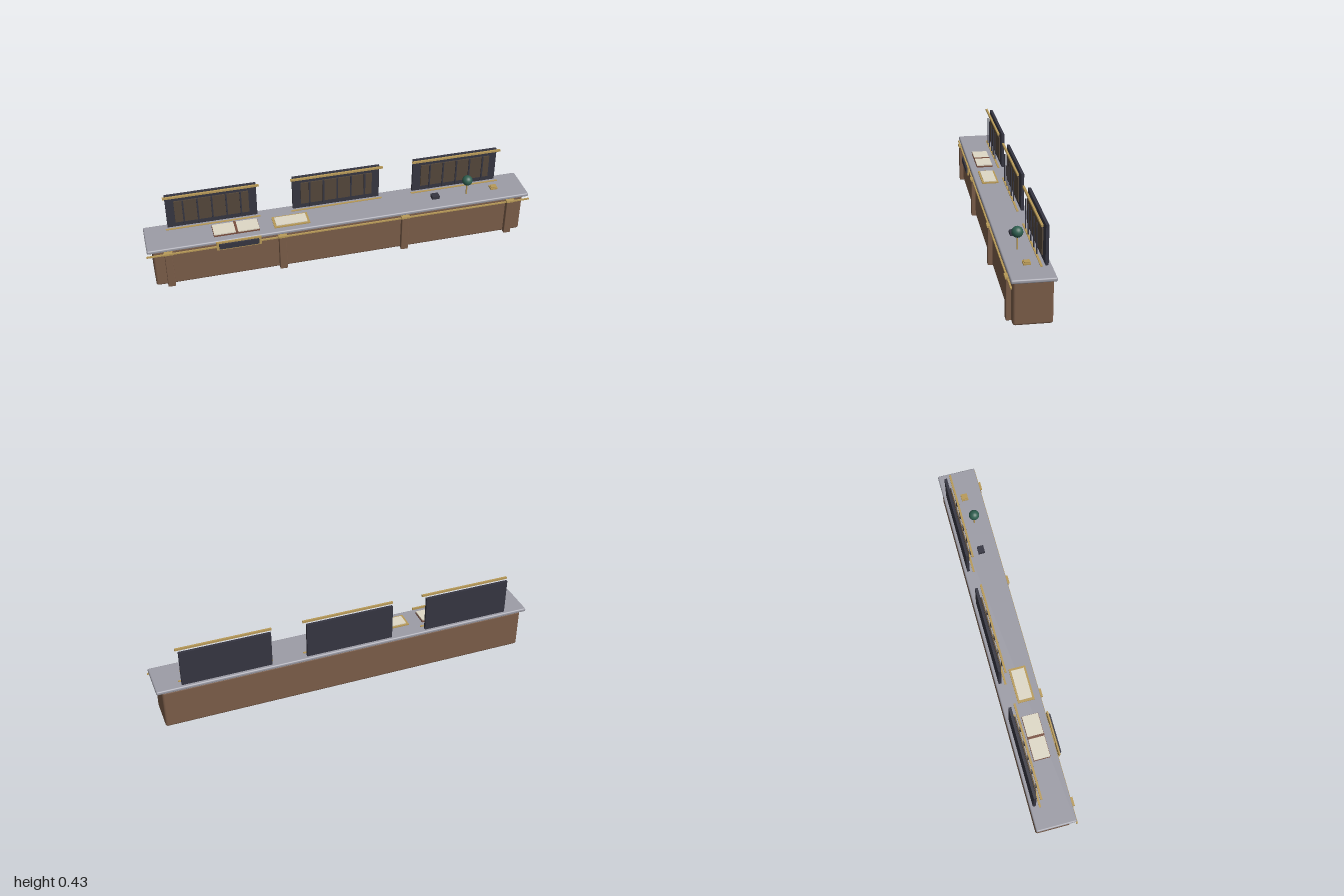
import * as THREE from 'three';
import { RoundedBoxGeometry } from 'three/addons/geometries/RoundedBoxGeometry.js';

const mat = (color) => new THREE.MeshStandardMaterial({ color });

export function createModel() {
  const model = new THREE.Group();
  const wood = mat(0x7a5c48), stone = mat(0x9c9ca6), dark = mat(0x353541), brass = mat(0xb89a58);
  const bronze = mat(0x54473a), paper = mat(0xded8c6), green = mat(0x2f5f50), leather = mat(0x7a5040);

  const add = (parent, name, geometry, material, x, y, z) => {
    const mesh = new THREE.Mesh(geometry, material);
    mesh.name = name;
    mesh.position.set(x, y, z);
    parent.add(mesh);
    return mesh;
  };
  // Box given by centre x, width, and its y and z ranges; optional rounded edges
  const box = (parent, name, material, x, w, y0, y1, z0, z1, r = 0) => {
    const h = y1 - y0, d = z1 - z0;
    const geometry = r ? new RoundedBoxGeometry(w, h, d, 3, r) : new THREE.BoxGeometry(w, h, d);
    return add(parent, name, geometry, material, x, (y0 + y1) / 2, (z0 + z1) / 2);
  };
  const group = (name) => {
    const g = new THREE.Group();
    g.name = name;
    model.add(g);
    return g;
  };

  // Counter body and top
  box(model, 'counterBody', wood, 0, 1.936, 0, 0.214, -0.103, 0.077, 0.012);
  box(model, 'counterTop', stone, 0, 1.99, 0.214, 0.233, -0.113, 0.09, 0.007);

  // Pilasters with brass caps, joined by a long rail
  for (const x of [-0.893, -0.321, 0.321, 0.893]) {
    box(model, 'pilaster', wood, x, 0.038, 0, 0.203, 0.07, 0.099, 0.003);
    box(model, 'pilasterCap', brass, x, 0.044, 0.201, 0.211, 0.07, 0.103);
  }
  box(model, 'frontRail', brass, 0, 2, 0.196, 0.203, 0.086, 0.094);

  // Blank plaque on the front
  const plaque = group('plaque');
  box(plaque, 'plaqueFrame', brass, -0.543, 0.226, 0.187, 0.235, 0.096, 0.104);
  box(plaque, 'plaquePanel', dark, -0.543, 0.2, 0.197, 0.226, 0.104, 0.112);
  box(plaque, 'plaqueBracket', brass, -0.543, 0.1, 0.199, 0.212, 0.075, 0.097);

  // Three screens: back board, bronze panel, vertical bars and two rails
  for (const x of [-0.644, -0.002, 0.637]) {
    const screen = group('screen');
    box(screen, 'backBoard', dark, x, 0.457, 0.23, 0.424, -0.097, -0.083);
    box(screen, 'innerPanel', bronze, x, 0.374, 0.264, 0.391, -0.079, -0.073);
    for (let i = -2; i <= 2; i++) {
      box(screen, 'screenBar', dark, x + i * 0.072, 0.008, 0.253, 0.402, -0.061, -0.056);
    }
    box(screen, 'topRail', brass, x, 0.48, 0.42, 0.43, -0.069, -0.059);
    box(screen, 'bottomRail', brass, x, 0.48, 0.226, 0.236, -0.069, -0.059);
  }

  // Open book
  const book = group('openBook');
  for (const s of [-1, 1]) {
    box(book, 'bookCover', leather, -0.543 + s * 0.058, 0.116, 0.233, 0.241, -0.033, 0.053);
    box(book, 'bookPages', paper, -0.543 + s * 0.058, 0.112, 0.241, 0.247, -0.031, 0.051);
  }
  box(book, 'bookSpine', leather, -0.543, 0.012, 0.233, 0.249, -0.033, 0.053);

  // Brass tray with a sheet of paper
  const tray = group('tray');
  box(tray, 'trayBase', brass, -0.262, 0.184, 0.233, 0.239, -0.03, 0.057);
  box(tray, 'traySheet', paper, -0.262, 0.16, 0.239, 0.243, -0.02, 0.047);

  // Small dark box and stacked brass block
  box(model, 'darkBox', dark, 0.508, 0.04, 0.233, 0.25, -0.014, 0.02);
  box(model, 'brassBlockBase', brass, 0.833, 0.038, 0.233, 0.241, -0.022, 0.013);
  box(model, 'brassBlockTop', brass, 0.833, 0.028, 0.241, 0.246, -0.018, 0.008);

  // Green ball on a stem
  const ball = group('ballOnStem');
  add(ball, 'stem', new THREE.CylinderGeometry(0.004, 0.004, 0.07, 12), brass, 0.677, 0.266, 0.011);
  add(ball, 'ball', new THREE.SphereGeometry(0.027, 24, 16), green, 0.677, 0.318, 0.011);

  return model;
}
